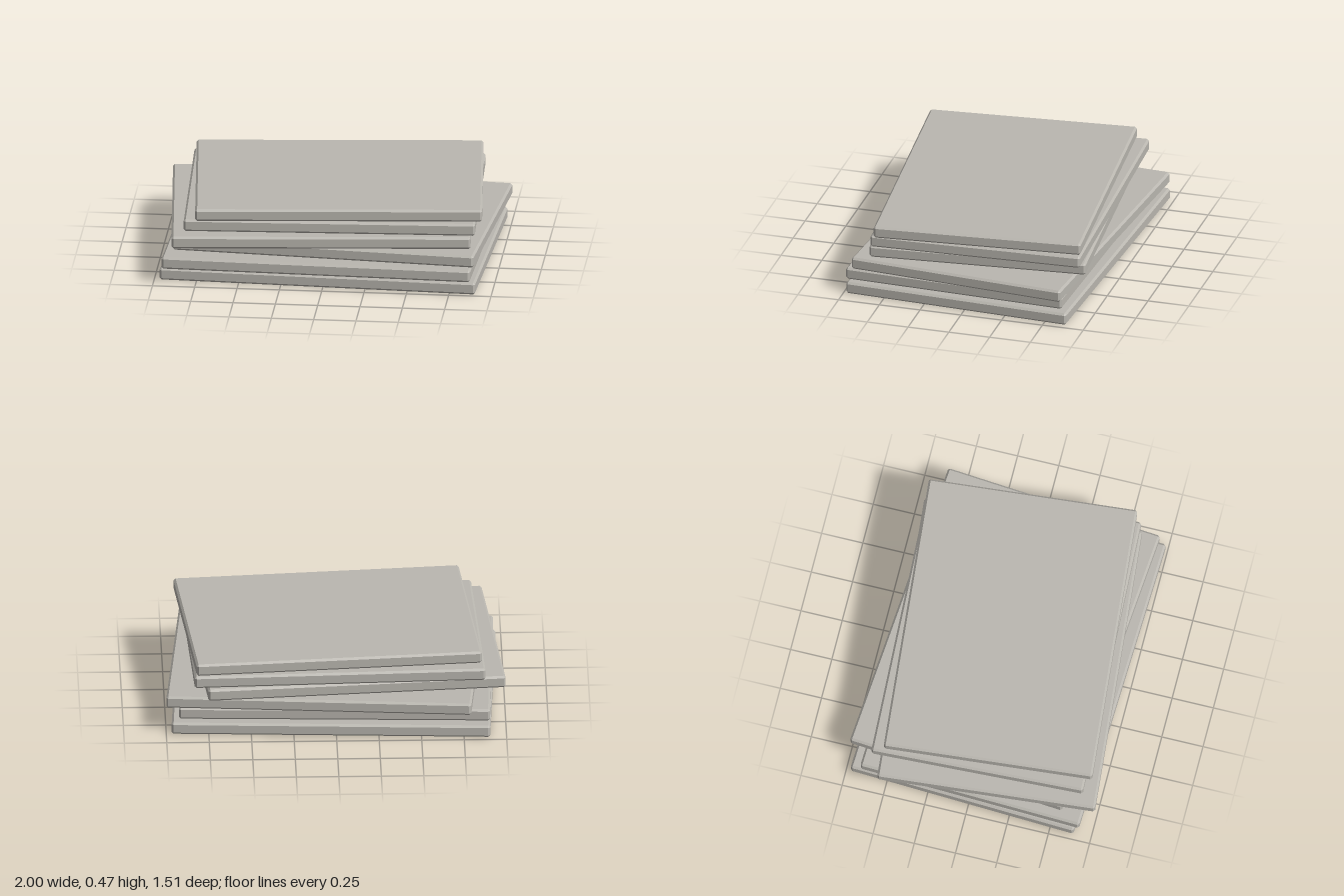
import * as THREE from 'three';
import { ConvexGeometry } from 'three/addons/geometries/ConvexGeometry.js';

const THICKNESS = 0.073;
const PITCH = 0.0787;
const CHAMFER = 0.012;

// Box with every edge cut by a small flat chamfer, standing on y = 0
function chamferedSlab(length, height, depth, c) {
  const half = [length / 2, height / 2, depth / 2];
  const points = [];
  for (const sx of [-1, 1]) for (const sy of [-1, 1]) for (const sz of [-1, 1]) {
    for (let outer = 0; outer < 3; outer++) {
      const [x, y, z] = half.map((h, axis) => (axis === outer ? h : h - c));
      points.push(new THREE.Vector3(sx * x, sy * y, sz * z));
    }
  }
  return new ConvexGeometry(points).translate(0, height / 2, 0);
}

export function createModel() {
  const group = new THREE.Group();
  group.name = 'slabStack';
  const stone = new THREE.MeshStandardMaterial({ color: 0xbab7b0 });
  stone.name = 'warm grey stone';

  // Slabs from bottom to top, shrinking and turned unevenly
  const slabs = [
    { length: 1.874, depth: 1.37, x: 0, z: 0.005, turn: -0.048 },
    { length: 1.83, depth: 1.34, x: -0.015, z: 0.04, turn: -0.038 },
    { length: 1.797, depth: 1.316, x: 0.05, z: -0.025, turn: -0.083 },
    { length: 1.76, depth: 1.297, x: -0.067, z: 0.032, turn: 0.087 },
    { length: 1.715, depth: 1.27, x: 0.005, z: -0.007, turn: 0.044 },
    { length: 1.688, depth: 1.242, x: 0.035, z: 0.012, turn: 0.087 },
  ];
  slabs.forEach(({ length, depth, x, z, turn }, i) => {
    const slab = new THREE.Mesh(chamferedSlab(length, THICKNESS, depth, CHAMFER), stone);
    slab.name = `slab${i + 1}`;
    slab.position.set(x, i * PITCH, z);
    slab.rotation.y = turn;
    group.add(slab);
  });
  return group;
}
